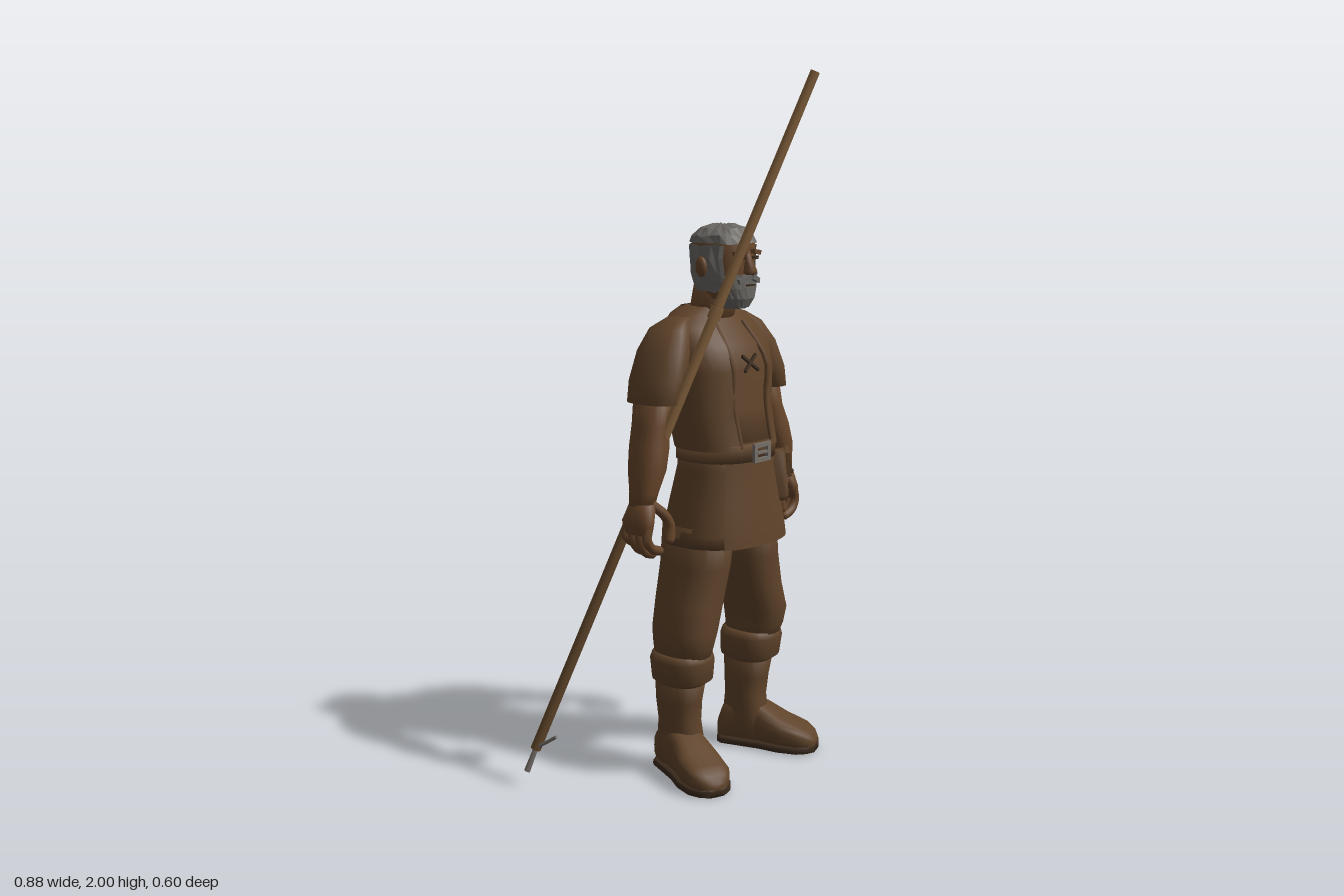
import * as THREE from 'three';

const CX = 0.09; // body axis

export function createModel() {
  const model = new THREE.Group();
  const mat = (name, color, extra = {}) => {
    const m = new THREE.MeshStandardMaterial({ color, ...extra });
    m.name = name;
    return m;
  };
  const cloth = mat('brown cloth', 0x5f432a, { side: THREE.DoubleSide });
  const skin = mat('brown skin', 0x66452a);
  const wood = mat('light wood', 0x8a6640);
  const darkWood = mat('dark wood', 0x664a2d);
  const hairMat = mat('grey hair', 0x6a6763, { side: THREE.DoubleSide, flatShading: true });
  const metal = mat('grey metal', 0x77706a);
  const dark = mat('dark trim', 0x3a2a1c);

  const add = (name, geo, material, parent = model) => {
    const mesh = new THREE.Mesh(geo, material);
    mesh.name = name;
    parent.add(mesh);
    return mesh;
  };

  let seed = 7;
  const rand = () => ((seed = (seed * 16807) % 2147483647) / 2147483647) - 0.5;

  // Skin over rings [y, centre x, half width, back z, front z], lowest first; arc limits leave an opening
  function loft(rings, { n = 20, from = 0, to = Math.PI * 2, p = 0.85, jitter = 0, caps = true } = {}) {
    const closed = to - from > 6.28, cols = closed ? n : n + 1;
    const pos = [], idx = [];
    const pow = v => Math.sign(v) * Math.abs(v) ** p;
    for (const [y, cx, rx, zb, zf] of rings) {
      for (let j = 0; j < cols; j++) {
        const a = from + (to - from) * j / n, k = 1 + rand() * jitter;
        pos.push(cx + rx * k * pow(Math.sin(a)), y + rand() * jitter * 0.1, (zb + zf) / 2 + (zf - zb) / 2 * k * pow(Math.cos(a)));
      }
    }
    for (let i = 0; i < rings.length - 1; i++) {
      for (let j = 0; j < n; j++) {
        const a = i * cols + j, b = i * cols + (j + 1) % cols;
        idx.push(a, b, a + cols, b, b + cols, a + cols);
      }
    }
    if (closed && caps) {
      for (const end of [0, rings.length - 1]) {
        const [y, cx, , zb, zf] = rings[end], c = pos.length / 3;
        pos.push(cx, y, (zb + zf) / 2);
        for (let j = 0; j < n; j++) {
          const a = end * cols + j, b = end * cols + (j + 1) % cols;
          end ? idx.push(a, b, c) : idx.push(b, a, c);
        }
      }
    }
    const g = new THREE.BufferGeometry();
    g.setAttribute('position', new THREE.Float32BufferAttribute(pos, 3));
    g.setIndex(idx);
    g.computeVertexNormals();
    return g;
  }
  const V = (x, y, z) => new THREE.Vector3(x, y, z);
  const tube = (pts, r) => new THREE.TubeGeometry(new THREE.CatmullRomCurve3(pts), 10, r, 8);
  function rod(name, a, b, r, material, r2 = r) {
    const m = add(name, new THREE.CylinderGeometry(r2, r, a.distanceTo(b), 12), material);
    m.position.copy(a).lerp(b, 0.5);
    m.quaternion.setFromUnitVectors(V(0, 1, 0), b.clone().sub(a).normalize());
    return m;
  }

  // Tunic body and open-fronted vest
  const torso = [
    [0.96, 0.148, -0.115, 0.125], [1.07, 0.155, -0.14, 0.1], [1.18, 0.165, -0.15, 0.098],
    [1.25, 0.17, -0.15, 0.075], [1.3, 0.155, -0.145, 0.03], [1.335, 0.115, -0.138, 0.0], [1.355, 0.07, -0.125, -0.01],
  ];
  const ring = g => ([y, w, b, f]) => [y, CX, w + g, b - g, f + g];
  add('tunicBody', loft(torso.map(ring(-0.004)), { n: 28 }), cloth);
  add('vest', loft(torso.map(ring(0.008)), { n: 28, from: 0.4, to: Math.PI * 2 - 0.4 }), cloth);
  for (const s of [-1, 1]) {
    add('vestBorder', tube([V(CX + s * 0.068, 0.965, 0.12), V(CX + s * 0.073, 1.1, 0.092),
      V(CX + s * 0.075, 1.2, 0.092), V(CX + s * 0.06, 1.31, 0.015)], 0.007), cloth);
  }

  // Skirt of the tunic with an overlapping front flap
  const skirt = [
    [0.685, 0.188, -0.16, 0.148], [0.72, 0.182, -0.155, 0.145], [0.8, 0.165, -0.14, 0.135],
    [0.9, 0.142, -0.12, 0.12], [0.98, 0.135, -0.105, 0.115],
  ];
  add('tunicSkirt', loft(skirt.map(ring(0)), { n: 28 }), cloth);
  add('skirtFlap', loft(skirt.map(ring(0.007)), { n: 16, from: -0.75, to: 1.1 }), cloth);
  add('belt', loft([[0.925, 0.142, -0.117, 0.125], [0.975, 0.142, -0.117, 0.128]].map(ring(0.006)), { n: 28 }), cloth);

  // Buckle and chest lacing
  const frame = new THREE.Shape().moveTo(-0.036, -0.027).lineTo(0.036, -0.027).lineTo(0.036, 0.027).lineTo(-0.036, 0.027);
  frame.holes.push(new THREE.Path().moveTo(-0.022, -0.015).lineTo(-0.022, 0.015).lineTo(0.022, 0.015).lineTo(0.022, -0.015));
  add('buckle', new THREE.ExtrudeGeometry(frame, { depth: 0.01, bevelEnabled: false }), metal).position.set(CX, 0.95, 0.132);
  add('bucklePin', new THREE.BoxGeometry(0.05, 0.007, 0.01), metal).position.set(CX, 0.95, 0.138);
  for (const s of [-1, 1]) {
    const lace = add('chestLace', new THREE.BoxGeometry(0.075, 0.008, 0.008), dark);
    lace.position.set(CX, 1.2, 0.094);
    lace.rotation.set(-0.25, 0, s * 0.65);
  }

  // Belt pouches: one at the left hip, one behind
  function pouch(x, z, yaw, w, h) {
    const g = new THREE.Group();
    g.name = 'pouch';
    add('pouchBag', loft([[-h / 2, 0, w * 0.46, -0.03, 0.028], [-h * 0.4, 0, w / 2, -0.03, 0.036],
      [h / 2, 0, w * 0.42, -0.03, 0.025]], { p: 0.4 }), cloth, g);
    const flap = add('pouchFlap', new THREE.BoxGeometry(w * 1.05, h * 0.5, 0.012), cloth, g);
    flap.position.set(0, h * 0.26, 0.034);
    flap.rotation.x = -0.08;
    add('pouchButton', new THREE.SphereGeometry(0.008, 8, 6), dark, g).position.set(0, h * 0.06, 0.043);
    g.position.set(x, 0.86, z);
    g.rotation.y = yaw;
    model.add(g);
  }
  pouch(0.225, 0.085, 0.7, 0.105, 0.14);
  pouch(0.15, -0.135, Math.PI - 0.15, 0.12, 0.13);

  for (const s of [-1, 1]) {
    const side = s > 0 ? 'left' : 'right';
    const limb = rings => rings.map(([y, u, r, b, f]) => [y, CX + s * u, r, b, f]);

    // Sleeve, arm and hand
    add(side + 'Sleeve', loft(limb([
      [1.1, 0.24, 0.042, -0.125, 0.01], [1.1, 0.241, 0.051, -0.14, 0.025], [1.16, 0.222, 0.058, -0.147, 0.03],
      [1.24, 0.19, 0.056, -0.145, 0.02], [1.3, 0.158, 0.045, -0.13, -0.005], [1.33, 0.12, 0.025, -0.1, -0.03],
    ])), cloth);
    add(side + 'Arm', loft(limb([
      [0.82, 0.312, 0.03, -0.075, 0.0], [0.86, 0.302, 0.034, -0.08, 0.005], [0.92, 0.286, 0.046, -0.095, 0.015],
      [0.98, 0.27, 0.047, -0.105, 0.012], [1.04, 0.255, 0.043, -0.11, 0.0], [1.12, 0.236, 0.044, -0.12, 0.0],
    ])), skin);
    add(side + 'Palm', loft(limb([
      [0.745, 0.328, 0.018, -0.09, 0.012], [0.78, 0.326, 0.026, -0.092, 0.016], [0.83, 0.31, 0.03, -0.075, 0.005],
    ])), skin);
    for (let i = 0; i < 4; i++) {
      const z = 0.002 - i * 0.026, low = [0.695, 0.682, 0.688, 0.705][i];
      add(side + 'Finger', tube([V(CX + s * 0.328, 0.77, z), V(CX + s * 0.334, 0.735, z),
        V(CX + s * 0.315, low + 0.012, z), V(CX + s * 0.285, low, z)], 0.0135), skin);
      add(side + 'Fingertip', new THREE.SphereGeometry(0.0135, 8, 6), skin).position.set(CX + s * 0.285, low, z);
    }
    add(side + 'Thumb', tube([V(CX + s * 0.305, 0.83, -0.01), V(CX + s * 0.268, 0.795, 0.008),
      V(CX + s * 0.25, 0.76, 0.012), V(CX + s * 0.254, 0.725, 0.014)], 0.015), skin);
    add(side + 'ThumbTip', new THREE.SphereGeometry(0.015, 8, 6), skin).position.set(CX + s * 0.254, 0.725, 0.014);

    // Baggy trouser leg, boot shaft, folded cuff and foot
    add(side + 'Trouser', loft(limb([
      [0.34, 0.157, 0.062, -0.105, 0.055], [0.39, 0.162, 0.07, -0.108, 0.075], [0.44, 0.16, 0.076, -0.112, 0.087],
      [0.52, 0.135, 0.08, -0.12, 0.085], [0.62, 0.11, 0.082, -0.123, 0.09], [0.74, 0.095, 0.085, -0.125, 0.095],
    ])), cloth);
    add(side + 'BootCuff', loft(limb([
      [0.275, 0.155, 0.06, -0.1, 0.04], [0.29, 0.155, 0.08, -0.114, 0.06], [0.35, 0.158, 0.085, -0.117, 0.067],
      [0.37, 0.158, 0.078, -0.11, 0.063], [0.372, 0.158, 0.06, -0.1, 0.05],
    ])), cloth);
    add(side + 'BootShaft', loft(limb([
      [0.03, 0.15, 0.05, -0.11, 0.03], [0.1, 0.15, 0.052, -0.112, 0.035], [0.16, 0.152, 0.052, -0.105, 0.024],
      [0.22, 0.155, 0.058, -0.108, 0.028], [0.3, 0.156, 0.063, -0.11, 0.045],
    ])), cloth);
    const foot = new THREE.Group();
    foot.name = side + 'Foot';
    // Foot rings run heel to toe: [z, 0, half width, -top, -bottom]
    const shoe = [[-0.07, 0.035, 0.08], [-0.055, 0.05, 0.12], [0.0, 0.053, 0.155], [0.07, 0.057, 0.135],
      [0.13, 0.069, 0.1], [0.19, 0.066, 0.078], [0.22, 0.048, 0.06], [0.235, 0.025, 0.04]];
    add('bootFoot', loft(shoe.map(([z, w, h]) => [z, 0, w, -h, -0.01]), { p: 0.7 }).rotateX(Math.PI / 2), cloth, foot);
    add('sole', loft(shoe.map(([z, w]) => [z, 0, w + 0.004, -0.024, 0]), { p: 0.4 }).rotateX(Math.PI / 2), dark, foot);
    foot.position.set(CX + s * 0.15, 0, -0.05);
    foot.rotation.y = s * 0.36;
    model.add(foot);

    // Ear, eye and brow
    const ear = add(side + 'Ear', new THREE.SphereGeometry(0.026, 10, 8), skin);
    ear.scale.set(0.45, 1.1, 0.75);
    ear.position.set(CX + s * 0.089, 1.47, -0.012);
    add(side + 'Eye', new THREE.BoxGeometry(0.028, 0.009, 0.008), dark).position.set(CX + s * 0.031, 1.494, 0.082);
    const brow = add(side + 'Brow', new THREE.BoxGeometry(0.042, 0.012, 0.018), skin);
    brow.position.set(CX + s * 0.033, 1.51, 0.083);
    brow.rotation.set(0, s * 0.25, -s * 0.12);
    const moustache = add(side + 'Moustache', new THREE.BoxGeometry(0.045, 0.014, 0.014), hairMat);
    moustache.position.set(CX + s * 0.022, 1.436, 0.09);
    moustache.rotation.set(0, s * 0.25, -s * 0.3);
  }

  // Neck, head and nose
  add('neck', loft([[1.3, 0.075, -0.12, 0.0], [1.36, 0.062, -0.105, 0.02], [1.43, 0.06, -0.09, 0.03]].map(ring(0))), skin);
  const head = [
    [1.36, 0.035, 0.0, 0.072], [1.38, 0.055, -0.04, 0.082], [1.41, 0.068, -0.075, 0.084], [1.45, 0.076, -0.09, 0.085],
    [1.495, 0.079, -0.097, 0.081], [1.53, 0.078, -0.098, 0.086], [1.56, 0.065, -0.085, 0.068], [1.58, 0.035, -0.05, 0.035],
  ];
  add('head', loft(head.map(ring(0)), { n: 24 }), skin);
  add('nose', loft([[1.448, 0.018, 0.07, 0.104], [1.458, 0.019, 0.07, 0.112], [1.485, 0.011, 0.07, 0.098],
    [1.515, 0.01, 0.07, 0.088]].map(ring(0)), { n: 10 }), skin);
  add('mouth', new THREE.BoxGeometry(0.035, 0.005, 0.006), dark).position.set(CX, 1.419, 0.094);

  // Rough cropped hair and short beard
  const rough = { n: 30, jitter: 0.09 };
  add('sideHair', loft([[1.4, 0.066, -0.075, 0.08], [1.43, 0.074, -0.087, 0.083], ...head.slice(3, 6)].map(ring(0.006)),
    { ...rough, from: 0.95, to: Math.PI * 2 - 0.95 }), hairMat);
  add('topHair', loft([[1.535, 0.077, -0.097, 0.082], [1.555, 0.072, -0.09, 0.072], [1.575, 0.05, -0.065, 0.05],
    [1.585, 0.022, -0.03, 0.02]].map(ring(0.006)), rough), hairMat);
  add('beard', loft([[1.356, 0.03, 0.005, 0.07], ...head.slice(1, 4)].map(ring(0.006)),
    { n: 16, jitter: 0.04, from: -1.2, to: 1.2 }), hairMat);
  add('beardUnderside', loft([[1.352, 0.03, 0.005, 0.068], [1.38, 0.057, -0.03, 0.084]].map(ring(0))), hairMat);

  // Long staff through the right hand, with collar, tip and hook
  const low = V(-0.415, 0.11, -0.277), top = V(0.122, 1.996, 0.285);
  const at = t => low.clone().lerp(top, t);
  rod('lowerShaft', low, at(0.47), 0.015, darkWood);
  rod('upperShaft', at(0.47), top, 0.015, wood, 0.013);
  rod('staffCollar', at(0.65), at(0.667), 0.019, wood);
  rod('staffTip', V(-0.434, 0.045, -0.294), low, 0.009, metal, 0.007);
  rod('staffHook', V(-0.418, 0.115, -0.272), V(-0.402, 0.16, -0.205), 0.005, metal);
  return model;
}
